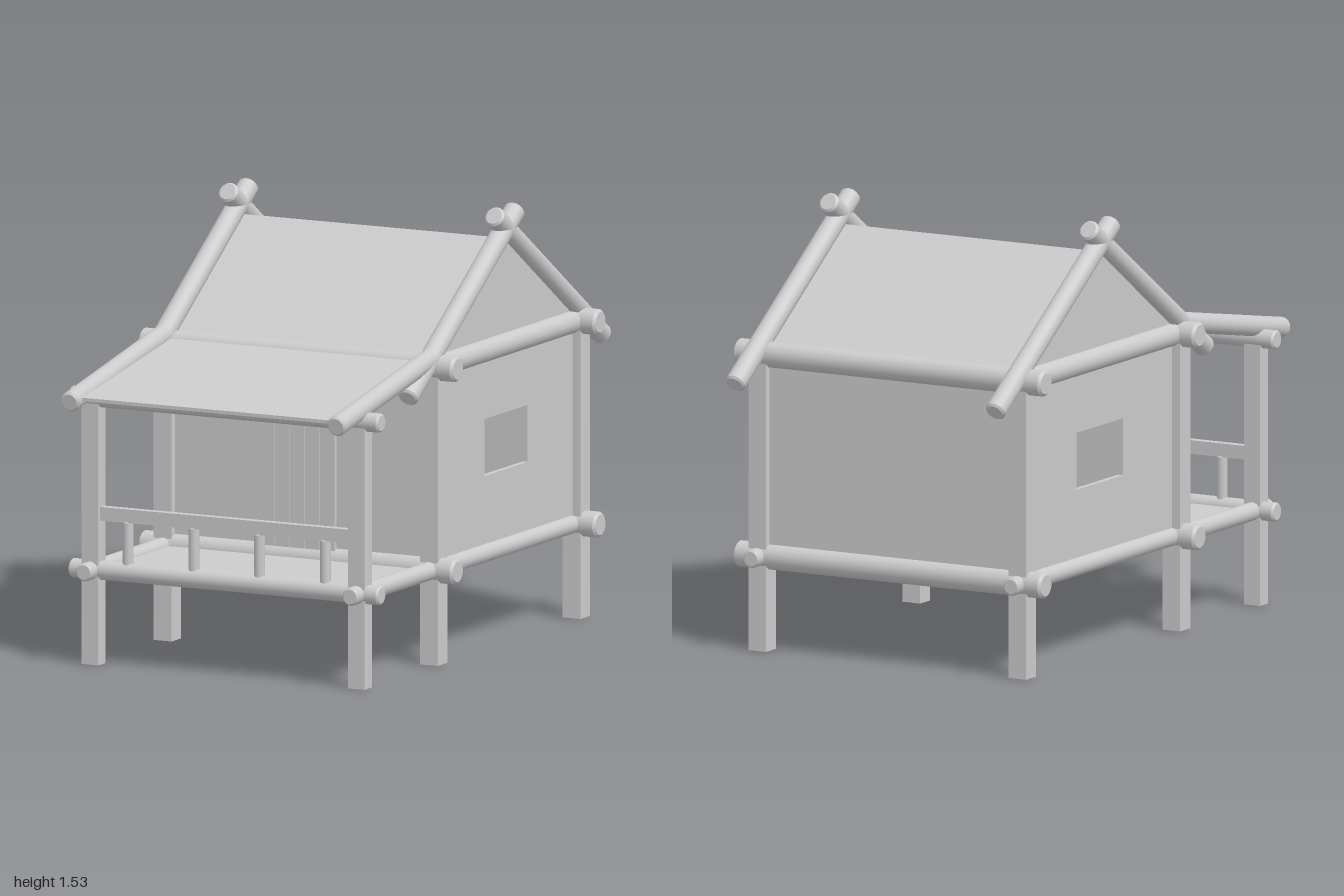
import * as THREE from 'three';

const mat = new THREE.MeshStandardMaterial({ color: 0xcccccc });
const sheetMat = new THREE.MeshStandardMaterial({ color: 0xcccccc, side: THREE.DoubleSide });

const PX = 0.52;                             // post line in x
const FRONT = 0.815, MID = 0.27, BACK = -0.785;
const FLOOR = 0.33, EAVE = 1.04;

export function createModel() {
  const model = new THREE.Group();

  const add = (name, geometry, material = mat) => {
    const mesh = new THREE.Mesh(geometry, material);
    mesh.name = name;
    model.add(mesh);
    return mesh;
  };

  const box = (name, w, h, d, x, y, z) =>
    add(name, new THREE.BoxGeometry(w, h, d).translate(x, y, z));

  // Round log with slightly bevelled ends, running from a to b
  const log = (name, a, b, r) => {
    const from = new THREE.Vector3(...a), to = new THREE.Vector3(...b);
    const len = from.distanceTo(to), c = r * 0.2;
    const profile = [[0, 0], [r - c, 0], [r - c, 0], [r, c], [r, c], [r, len - c],
      [r, len - c], [r - c, len], [r - c, len], [0, len]].map(p => new THREE.Vector2(...p));
    const mesh = add(name, new THREE.LatheGeometry(profile, 16));
    mesh.position.copy(from);
    mesh.quaternion.setFromUnitVectors(new THREE.Vector3(0, 1, 0), to.sub(from).normalize());
    return mesh;
  };

  // Thin slab spanning x, sloping between two (z, y) points
  const slab = (name, [z0, y0], [z1, y1], width) => {
    const t = 0.006;
    const s = new THREE.Shape([[z0, y0 - t], [z1, y1 - t], [z1, y1 + t], [z0, y0 + t]]
      .map(p => new THREE.Vector2(...p)));
    const g = new THREE.ExtrudeGeometry(s, { depth: width, bevelEnabled: false });
    g.translate(0, 0, -width / 2).rotateY(-Math.PI / 2);
    return add(name, g, sheetMat);
  };

  // Posts, side beams, rafters and gable walls, mirrored left and right
  for (const s of [-1, 1]) {
    const x = s * PX;
    box('porchPost', 0.065, 0.94, 0.055, x, 0.47, FRONT);
    box('middlePost', 0.07, EAVE, 0.07, x, EAVE / 2, MID);
    box('backPost', 0.07, EAVE, 0.07, x, EAVE / 2, BACK);

    log('floorSideBeam', [x, FLOOR, 0.89], [x, FLOOR, -0.865], 0.032);
    log('eaveSideBeam', [x, EAVE, MID], [x, EAVE, BACK], 0.04);

    log('frontRafter', [x, 0.96, 0.465], [x, 1.5, -0.335], 0.037);
    log('backRafter', [x, 0.96, -0.975], [x, 1.5, -0.175], 0.037);
    log('porchRafter', [x, 0.943, 0.995], [x, 1.073, 0.3], 0.036);

    // Side wall with gable and window opening
    const wall = new THREE.Shape([[MID, FLOOR], [MID, 1.06], [-0.255, 1.41], [BACK, 1.06], [BACK, FLOOR]]
      .map(p => new THREE.Vector2(...p)));
    wall.holes.push(new THREE.Path([[-0.1, 0.6], [-0.42, 0.6], [-0.42, 0.8], [-0.1, 0.8]]
      .map(p => new THREE.Vector2(...p))));
    const g = new THREE.ExtrudeGeometry(wall, { depth: 0.02, bevelEnabled: false });
    g.translate(0, 0, -0.01).rotateY(-Math.PI / 2).translate(s * 0.513, 0, 0);
    add('sideWall', g, sheetMat);
  }

  // Cross beams
  const crossBeam = (name, half, y, z, r) => log(name, [-half, y, z], [half, y, z], r);
  for (const z of [MID, BACK]) {
    crossBeam('floorCrossBeam', 0.615, FLOOR, z, 0.046);
    crossBeam('eaveCrossBeam', 0.615, EAVE, z, 0.046);
  }
  crossBeam('porchFloorBeam', 0.605, FLOOR, FRONT, 0.034);
  crossBeam('porchEaveBeam', 0.605, 0.935, FRONT, 0.034);

  // Front and back walls, floor
  for (const [name, z] of [['frontWall', MID], ['backWall', BACK]])
    box(name, 2 * PX, EAVE - FLOOR, 0.02, 0, (EAVE + FLOOR) / 2, z);
  box('floor', 2 * PX, 0.012, FRONT - BACK, 0, FLOOR, (FRONT + BACK) / 2);

  // Roof sheets
  slab('mainRoofFront', [-0.255, 1.405], [0.25, 1.062], 2 * PX);
  slab('mainRoofBack', [-0.255, 1.405], [-0.78, 1.05], 2 * PX);
  slab('porchRoof', [0.25, 1.067], [0.965, 0.952], 2 * PX);

  // Plank door
  for (let i = 0; i < 5; i++)
    box('doorPlank', 0.057, 0.82 - FLOOR, 0.02, -0.118 + i * 0.059, (0.82 + FLOOR) / 2, MID + 0.016);

  // Porch railing
  box('railing', 2 * PX, 0.048, 0.03, 0, 0.53, FRONT);
  for (const x of [-0.385, -0.128, 0.128, 0.385]) {
    add('baluster', new THREE.CylinderGeometry(0.019, 0.019, 0.17, 12).translate(x, 0.42, FRONT));
    add('balusterTip', new THREE.ConeGeometry(0.019, 0.02, 12).translate(x, 0.515, FRONT));
  }

  return model;
}
